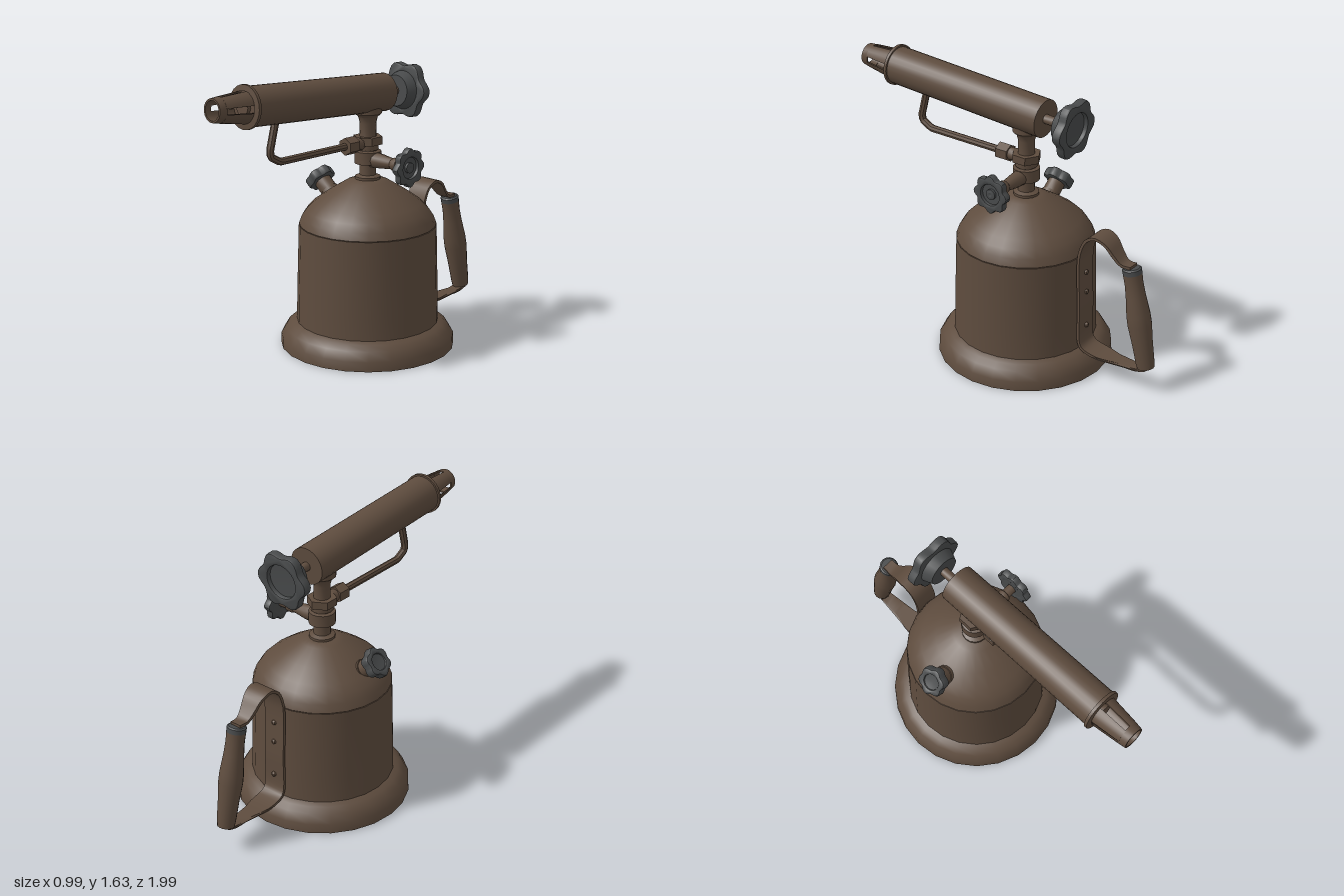
import * as THREE from 'three';
import { toCreasedNormals } from 'three/addons/utils/BufferGeometryUtils.js';

const brown = new THREE.MeshStandardMaterial({ color: 0x5e4c3e, side: THREE.DoubleSide });
brown.name = 'aged brown metal';
const grey = new THREE.MeshStandardMaterial({ color: 0x484a4b, side: THREE.DoubleSide });
grey.name = 'dark grey';

const TANK_Z = -0.125;

function add(parent, name, geometry, material = brown) {
  const mesh = new THREE.Mesh(toCreasedNormals(geometry, 0.6), material);
  mesh.name = name;
  parent.add(mesh);
  return mesh;
}

function group(parent, name, x, y, z) {
  const g = new THREE.Group();
  g.name = name;
  g.position.set(x, y, z);
  parent.add(g);
  return g;
}

// Profile of [radius, height] pairs, bottom to top, turned about y
function lathe(profile, sides = 24, start = 0, length = Math.PI * 2) {
  return new THREE.LatheGeometry(profile.map(p => new THREE.Vector2(...p)), sides, start, length);
}

// The same, turned about z
const latheZ = (...args) => lathe(...args).rotateX(Math.PI / 2);

// Lobed hand wheel facing +z: scalloped rim around a dished web
function handWheel(parent, name, radius, lobes, depth, dish, webDepth) {
  const g = group(parent, name, 0, 0, 0);
  const shape = new THREE.Shape();
  const bevel = depth * 0.2;
  const n = lobes * 8;
  for (let i = 0; i < n; i++) {
    const a = (i / n) * Math.PI * 2;
    const r = (radius - bevel) * (0.915 + 0.085 * Math.cos(lobes * a));
    shape[i ? 'lineTo' : 'moveTo'](r * Math.cos(a), r * Math.sin(a));
  }
  shape.closePath();
  const hole = new THREE.Path();
  hole.absarc(0, 0, dish + bevel, 0, Math.PI * 2, true);
  shape.holes.push(hole);
  add(g, 'wheelRim', new THREE.ExtrudeGeometry(shape, {
    depth: depth - 2 * bevel, bevelEnabled: true, bevelThickness: bevel,
    bevelSize: bevel, bevelSegments: 2, curveSegments: 12,
  }).translate(0, 0, bevel), grey);
  add(g, 'wheelWeb', latheZ([[0, 0.002], [dish + bevel, 0.002], [dish + bevel, webDepth], [0, webDepth * 0.8]]), grey);
  return g;
}

function buildTank(root) {
  const tank = group(root, 'tank', 0, 0, TANK_Z);
  add(tank, 'base', lathe([[0, 0], [0.497, 0], [0.495, 0.055], [0.465, 0.105], [0.435, 0.132], [0.405, 0.145]]));
  add(tank, 'body', lathe([[0.405, 0.14], [0.402, 0.3], [0.39, 0.708], [0.38, 0.708]]));
  add(tank, 'dome', lathe([[0.38, 0.7], [0.388, 0.712], [0.372, 0.755], [0.345, 0.795], [0.305, 0.835],
    [0.22, 0.895], [0.12, 0.957], [0.085, 0.97], [0, 0.975]]));

  // Filler neck and cap on the right shoulder
  const filler = group(tank, 'filler', -0.24, 0.825, 0.03);
  filler.rotation.z = 0.89;
  add(filler, 'fillerNeck', lathe([[0.055, -0.06], [0.055, 0.05], [0.05, 0.05], [0.05, 0.125]], 16));
  const cap = handWheel(filler, 'fillerCap', 0.086, 6, 0.06, 0.045, 0.052);
  cap.rotation.x = -Math.PI / 2;
  cap.position.y = 0.115;
}

function buildNeck(root) {
  const neck = group(root, 'neck', 0, 0, TANK_Z);
  add(neck, 'neckPipe', lathe([[0.072, 0.96], [0.072, 0.985], [0.047, 0.995], [0.047, 1.06], [0.075, 1.06],
    [0.075, 1.13], [0.055, 1.135], [0.048, 1.16], [0.046, 1.29], [0.055, 1.325], [0.078, 1.345], [0.078, 1.38]], 16));
  add(neck, 'neckNut', new THREE.CylinderGeometry(0.083, 0.083, 0.045, 6).translate(0, 1.192, 0));
  add(neck, 'neckCollar', new THREE.CylinderGeometry(0.062, 0.062, 0.03, 12).translate(0, 1.155, 0));

  // Side valve reaching to the left
  const valve = group(neck, 'sideValve', 0, 1.085, 0);
  valve.rotation.y = Math.PI / 2;
  add(valve, 'valveStem', latheZ([[0.045, 0.04], [0.042, 0.1], [0.03, 0.19], [0.037, 0.2],
    [0.037, 0.235], [0.028, 0.24], [0.028, 0.3], [0, 0.3]], 12));
  const wheel = handWheel(valve, 'valveWheel', 0.11, 8, 0.043, 0.06, 0.025);
  wheel.position.z = 0.287;
  add(wheel, 'wheelHub', latheZ([[0.03, 0], [0.03, 0.036], [0.014, 0.04], [0, 0.034]], 12), grey);
}

function buildBurner(root) {
  const burner = group(root, 'burner', 0, 1.453, TANK_Z);
  burner.rotation.x = -0.062;
  add(burner, 'barrel', latheZ([[0, -0.125], [0.107, -0.125], [0.108, 0.905], [0, 0.905]]));
  add(burner, 'barrelFlange', latheZ([[0.1, 0.895], [0.118, 0.895], [0.118, 0.912], [0.085, 0.916]]));

  // Slotted nozzle: four tapered strips joined by a rim
  const gap = 0.46;
  for (let i = 0; i < 4; i++) {
    add(burner, 'nozzleStrip', latheZ([[0.08, 0.91], [0.088, 0.91], [0.069, 1.085], [0.06, 1.085], [0.08, 0.91]],
      5, i * Math.PI / 2 + gap / 2, Math.PI / 2 - gap));
  }
  add(burner, 'nozzleRim', latheZ([[0.06, 1.08], [0.069, 1.08], [0.063, 1.125], [0.052, 1.125], [0.06, 1.08]]));
  add(burner, 'jet', latheZ([[0.045, 0.9], [0.045, 0.925], [0, 0.925]], 12));

  // Regulating knob at the rear
  add(burner, 'knobRod', latheZ([[0.026, -0.24], [0.026, -0.12]], 12));
  add(burner, 'knobCone', latheZ([[0, -0.285], [0.112, -0.285], [0.1, -0.25], [0.088, -0.222], [0, -0.222]]), grey);
  const knob = handWheel(burner, 'rearKnob', 0.165, 6, 0.055, 0.095, 0.03);
  knob.rotation.y = Math.PI;
  knob.position.z = -0.278;
}

// Fuel pipe running from the neck to the barrel
function buildFuelPipe(root) {
  const corners = [[1.18, -0.1], [1.18, 0.54], [1.215, 0.605], [1.25, 0.61], [1.42, 0.565]]
    .map(([y, z]) => new THREE.Vector3(0, y, z));
  const path = new THREE.CurvePath();
  for (let i = 1; i < corners.length; i++) path.add(new THREE.LineCurve3(corners[i - 1], corners[i]));
  add(root, 'fuelPipe', new THREE.TubeGeometry(path, 60, 0.021, 8));
  add(root, 'pipeNut', new THREE.CylinderGeometry(0.05, 0.05, 0.075, 6).rotateX(Math.PI / 2).translate(0, 1.18, 0.018));
  add(root, 'pipeCollar', new THREE.CylinderGeometry(0.036, 0.036, 0.06, 12).rotateX(Math.PI / 2).translate(0, 1.18, -0.045));
}

function buildHandle(root) {
  const handle = group(root, 'handle', 0, 0, 0);
  // Flat strap: a path of [z, y] thickened sideways and extruded across x
  const path = new THREE.CatmullRomCurve3([[-0.835, 0.745], [-0.78, 0.745], [-0.735, 0.79], [-0.69, 0.845],
    [-0.63, 0.868], [-0.57, 0.84], [-0.533, 0.76], [-0.524, 0.68], [-0.534, 0.4], [-0.539, 0.19],
    [-0.56, 0.158], [-0.63, 0.138], [-0.78, 0.13], [-0.89, 0.133], [-0.95, 0.152]]
    .map(([z, y]) => new THREE.Vector3(-z, y, 0)), false, 'centripetal');
  const left = [], right = [];
  for (let i = 0; i <= 56; i++) {
    const p = path.getPointAt(i / 56), t = path.getTangentAt(i / 56);
    left.push(new THREE.Vector2(p.x - t.y * 0.008, p.y + t.x * 0.008));
    right.unshift(new THREE.Vector2(p.x + t.y * 0.008, p.y - t.x * 0.008));
  }
  const strap = new THREE.ExtrudeGeometry(new THREE.Shape([...left, ...right]), { depth: 0.134, bevelEnabled: false });
  strap.translate(0, 0, -0.067).rotateY(Math.PI / 2);
  // Narrow the strap towards the grip
  const pos = strap.attributes.position;
  for (let i = 0; i < pos.count; i++) {
    const k = THREE.MathUtils.smoothstep(-pos.getZ(i), 0.64, 0.82);
    pos.setX(i, pos.getX(i) * (1 - 0.5 * k));
  }
  add(handle, 'strap', strap);

  for (const y of [0.28, 0.49, 0.61]) {
    const rivet = add(handle, 'rivet', new THREE.SphereGeometry(0.015, 8, 6));
    rivet.position.set(0, y, -0.522 - (0.7 - y) * 0.035 - 0.008);
  }

  const grip = group(handle, 'grip', 0, 0.155, -0.94);
  grip.rotation.x = 0.197;
  add(grip, 'gripBody', lathe([[0, 0], [0.048, 0], [0.052, 0.03], [0.058, 0.15], [0.067, 0.26],
    [0.066, 0.32], [0.055, 0.43], [0.051, 0.5], [0.053, 0.56]], 16));
  add(grip, 'gripFerrule', lathe([[0.053, 0.558], [0.054, 0.585], [0.045, 0.592], [0, 0.592]], 16), grey);
}

export function createModel() {
  const root = new THREE.Group();
  root.name = 'blowtorch';
  buildTank(root);
  buildNeck(root);
  buildBurner(root);
  buildFuelPipe(root);
  buildHandle(root);
  return root;
}
